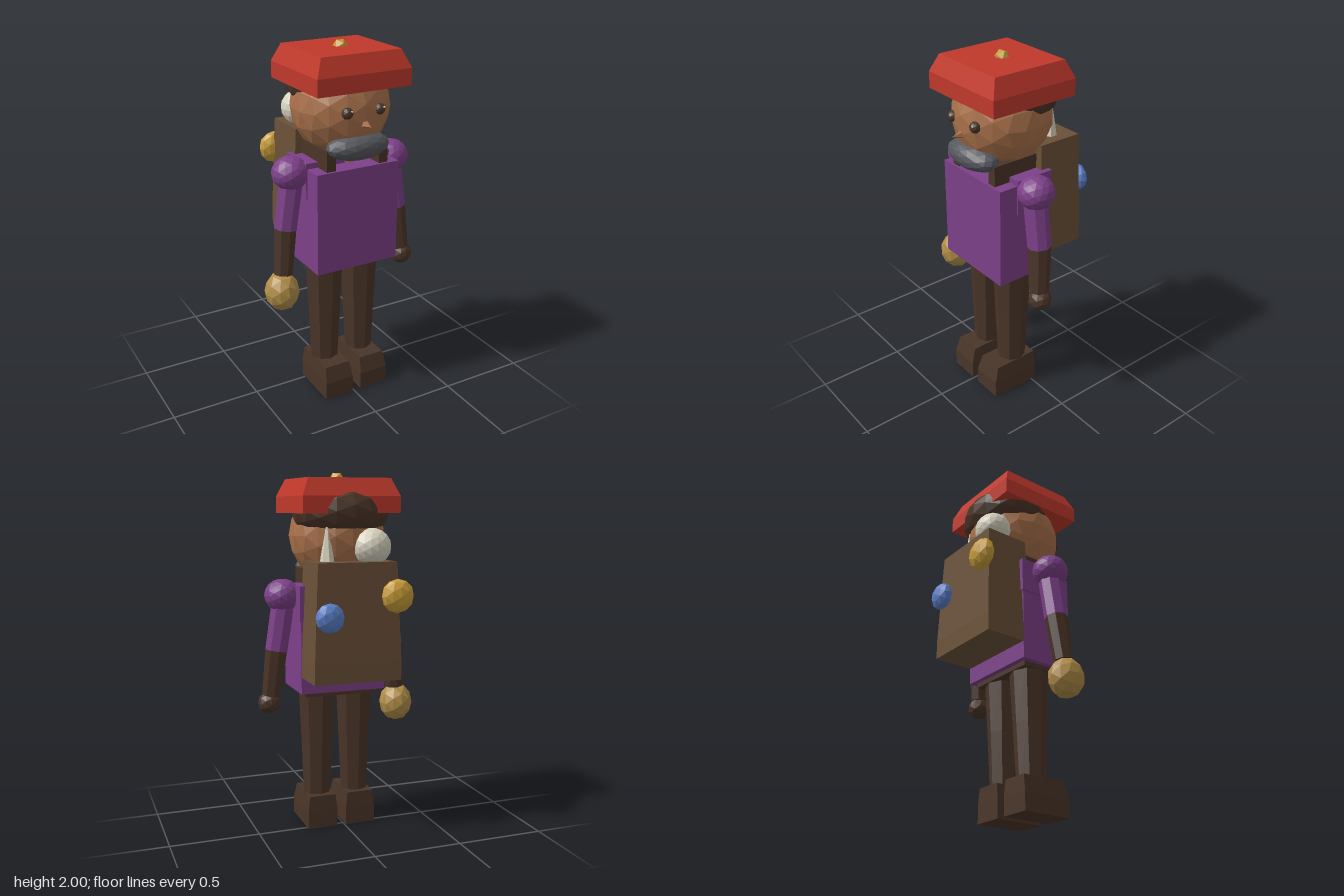
import * as THREE from 'three';

const mat = (name, color) => {
  const m = new THREE.MeshStandardMaterial({ color, flatShading: true });
  m.name = name;
  return m;
};

export function createModel() {
  const red = mat('hat red', 0xc0392b);
  const purple = mat('tunic purple', 0x7d4089);
  const brown = mat('dark brown', 0x4a3528);
  const skin = mat('skin', 0xa9714b);
  const gold = mat('gold', 0xc99e3a);
  const ochre = mat('glove ochre', 0xb08d48);
  const blue = mat('blue', 0x5b7fc9);
  const cream = mat('cream', 0xd8d3c0);
  const grey = mat('moustache grey', 0x56575d);
  const tan = mat('pack brown', 0x6b5138);

  const root = new THREE.Group();
  root.name = 'traveller';
  // everything is mirrored about the body axis, slightly off the origin
  const body = new THREE.Group();
  body.name = 'body';
  body.position.x = 0.017;
  root.add(body);

  const add = (name, geo, m, x = 0, y = 0, z = 0) => {
    const mesh = new THREE.Mesh(geo, m);
    mesh.name = name;
    mesh.position.set(x, y, z);
    body.add(mesh);
    return mesh;
  };
  const ball = (name, m, x, y, z, rx, ry = rx, rz = rx, detail = 1) => {
    const mesh = add(name, new THREE.IcosahedronGeometry(1, detail), m, x, y, z);
    mesh.scale.set(rx, ry, rz);
    return mesh;
  };
  const box = (name, m, x0, x1, y0, y1, z0, z1) =>
    add(name, new THREE.BoxGeometry(x1 - x0, y1 - y0, z1 - z0), m,
      (x0 + x1) / 2, (y0 + y1) / 2, (z0 + z1) / 2);
  // box whose top ring is pulled in; the middle ring stays at height ym
  const chamfered = (name, m, x0, x1, y0, ym, y1, z0, z1, inX, inFront, inBack) => {
    const g = new THREE.BoxGeometry(x1 - x0, 2, z1 - z0, 1, 2, 1);
    const p = g.attributes.position;
    for (let i = 0; i < p.count; i++) {
      const level = p.getY(i);
      if (level > 0.5) {
        p.setX(i, p.getX(i) - Math.sign(p.getX(i)) * inX);
        p.setZ(i, p.getZ(i) + (p.getZ(i) > 0 ? -inFront : inBack));
      }
      p.setY(i, level > 0.5 ? y1 : level < -0.5 ? y0 : ym);
    }
    g.computeVertexNormals();
    return add(name, g, m, (x0 + x1) / 2, 0, (z0 + z1) / 2);
  };
  // tapered limb between two points
  const limb = (name, m, a, b, ra, rb, sides = 8) => {
    const A = new THREE.Vector3(...a), B = new THREE.Vector3(...b);
    const d = A.clone().sub(B);
    const mid = A.clone().add(B).multiplyScalar(0.5);
    const mesh = add(name, new THREE.CylinderGeometry(ra, rb, d.length(), sides), m, mid.x, mid.y, mid.z);
    mesh.quaternion.setFromUnitVectors(new THREE.Vector3(0, 1, 0), d.normalize());
    return mesh;
  };

  // hat
  chamfered('hat', red, -0.272, 0.272, 1.78, 1.87, 1.965, -0.2, 0.315, 0.041, 0.04, 0.04);
  ball('hatButton', gold, 0, 1.96, 0.055, 0.042, 0.042, 0.042, 0);

  // head
  ball('head', skin, 0, 1.66, 0.055, 0.266, 0.266, 0.266, 2);
  ball('hair', brown, 0, 1.79, -0.005, 0.272, 0.17, 0.235, 2);
  limb('neck', skin, [0, 1.45, 0.06], [0, 1.36, 0.06], 0.1, 0.1);
  const nose = add('nose', new THREE.ConeGeometry(0.029, 0.085, 5), skin, 0, 1.612, 0.33);
  nose.rotation.x = Math.PI / 2;
  ball('moustache', grey, 0, 1.483, 0.245, 0.182, 0.074, 0.096, 2);

  // torso
  box('tunic', purple, -0.246, 0.246, 0.8, 1.365, -0.065, 0.26);
  box('yoke', purple, -0.254, 0.254, 1.2, 1.395, -0.074, 0.15);
  box('hips', brown, -0.215, 0.215, 0.775, 0.83, -0.035, 0.18);

  // mirrored parts
  for (const s of [-1, 1]) {
    const side = s > 0 ? 'left' : 'right';
    ball(side + 'Eye', brown, s * 0.094, 1.677, 0.295, 0.031);
    ball(side + 'EyeGlint', cream, s * 0.094 + 0.012, 1.69, 0.321, 0.006, 0.006, 0.006, 0);
    const c = s * 0.157;
    box(side + 'Strap', brown, c - 0.026, c + 0.026, 1.33, 1.475, -0.03, 0.245);

    ball(side + 'Shoulder', purple, s * 0.31, 1.335, 0.077, 0.1, 0.092, 0.1, 2);
    limb(side + 'Sleeve', purple, [s * 0.3, 1.33, 0.077], [s * 0.347, 1.03, 0.08], 0.066, 0.064);
    limb(side + 'Forearm', brown, [s * 0.347, 1.035, 0.08], [s * 0.374, 0.775, 0.1], 0.063, 0.054);

    limb(side + 'Thigh', brown, [s * 0.112, 0.8, 0.077], [s * 0.112, 0.49, 0.08], 0.108, 0.093);
    limb(side + 'Shin', brown, [s * 0.112, 0.49, 0.08], [s * 0.114, 0.17, 0.083], 0.093, 0.079);
    const f = s * 0.113;
    chamfered(side + 'Boot', brown, f - 0.087, f + 0.087, 0, 0.1, 0.19, -0.028, 0.265, 0.011, 0.028, 0.002);
  }
  ball('leftHand', brown, 0.386, 0.73, 0.103, 0.064);
  ball('rightGlove', ochre, -0.386, 0.675, 0.103, 0.096, 0.112, 0.1, 1);

  // backpack with its load
  chamfered('backpack', tan, -0.244, 0.244, 0.895, 1.0, 1.53, -0.297, -0.022, 0.024, 0.006, 0.014);
  ball('bundle', cream, -0.115, 1.605, -0.178, 0.107, 0.1, 0.1, 2);
  add('spike', new THREE.ConeGeometry(0.042, 0.25, 6), cream, 0.13, 1.635, -0.162);
  ball('goldPouch', gold, -0.208, 1.352, -0.322, 0.091, 0.091, 0.054);
  ball('bluePouch', blue, 0.17, 1.25, -0.325, 0.079, 0.079, 0.047);

  return root;
}
